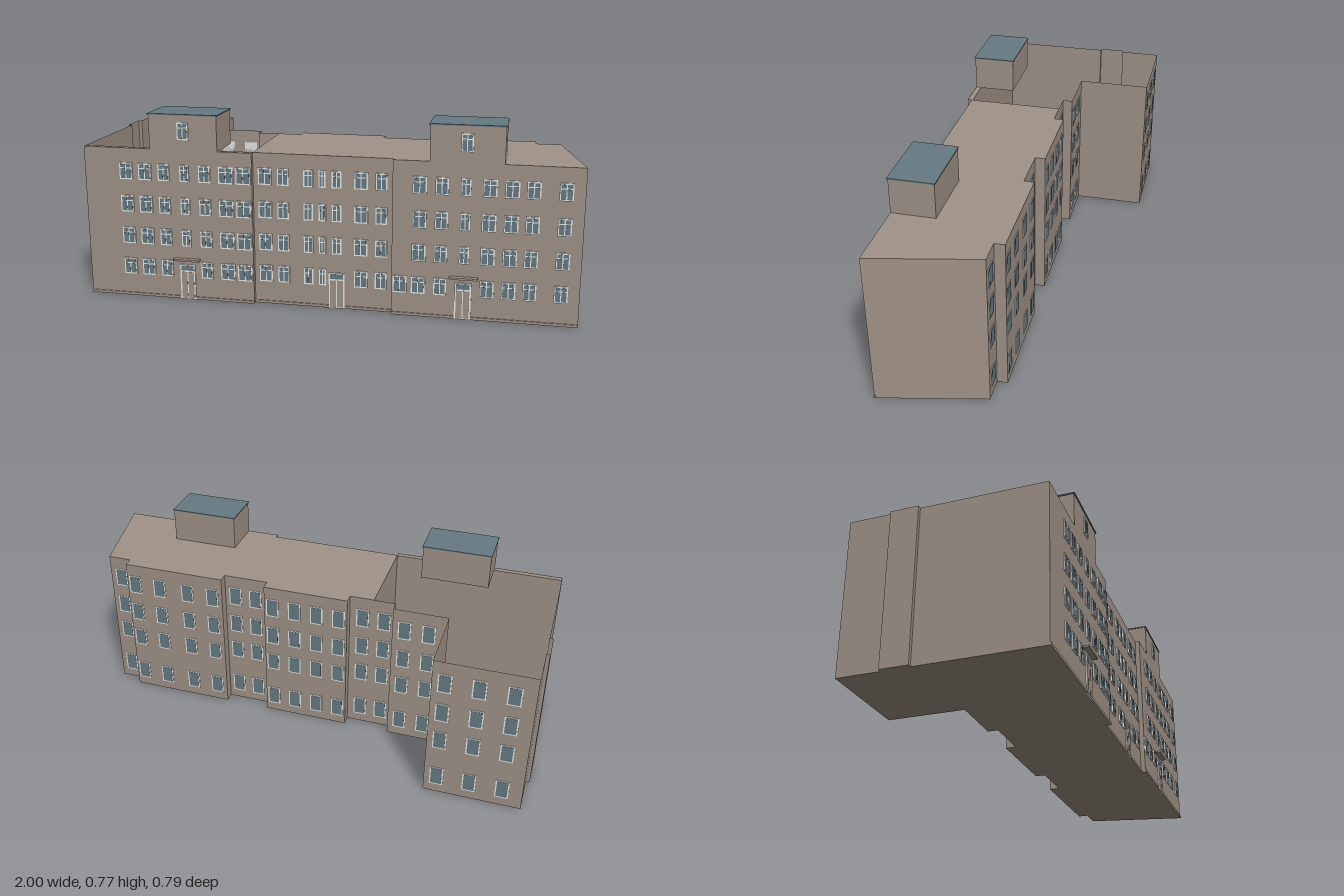
import * as THREE from 'three';
import { mergeGeometries } from 'three/addons/utils/BufferGeometryUtils.js';

const H = 0.624;        // eaves height
const FRONT = 0.373;    // outer front walls
const MID = 0.354;      // recessed middle front
const BACK = -0.085, RECESS = -0.044, WING = -0.39;

export function createModel() {
  const group = new THREE.Group();
  const mat = (name, color, side = THREE.FrontSide) => {
    const m = new THREE.MeshStandardMaterial({ color, side });
    m.name = name;
    return m;
  };
  const wallMat = mat('wall', 0xa09287, THREE.DoubleSide);
  const blueMat = mat('slate blue', 0x667a83);
  const whiteMat = mat('white frame', 0xe4e6e4);

  const add = (name, geo, material) => {
    const m = new THREE.Mesh(geo, material);
    m.name = name;
    group.add(m);
    return m;
  };
  // box given by its limits
  const box = (x0, x1, y0, y1, z0, z1) =>
    new THREE.BoxGeometry(x1 - x0, y1 - y0, z1 - z0)
      .translate((x0 + x1) / 2, (y0 + y1) / 2, (z0 + z1) / 2);
  const planShape = pts => new THREE.Shape(pts.map(([x, z]) => new THREE.Vector2(x, -z)));

  // roofed middle and right sections
  const mainPlan = [
    [-0.28, MID], [0.28, MID], [0.28, FRONT], [1, FRONT], [0.91, RECESS], [0.81, RECESS],
    [0.81, BACK], [0.37, BACK], [0.37, RECESS], [0.18, RECESS], [0.18, BACK],
    [-0.18, BACK], [-0.18, RECESS], [-0.28, RECESS],
  ];
  add('mainBlock', new THREE.ExtrudeGeometry(planShape(mainPlan), { depth: H, bevelEnabled: false })
    .rotateX(-Math.PI / 2), wallMat);

  // open-topped left section: walls along the plan, and a floor
  const leftPlan = [
    [-0.28, RECESS], [-0.37, RECESS], [-0.37, BACK], [-0.595, BACK], [-0.595, WING],
    [-0.985, WING], [-0.985, -0.22], [-1, -0.22], [-1, -0.11], [-0.985, -0.11],
    [-0.985, FRONT], [-0.28, FRONT], [-0.28, MID],
  ];
  const walls = [];
  for (let i = 0; i < leftPlan.length - 1; i++) {
    const [x0, z0] = leftPlan[i], [x1, z1] = leftPlan[i + 1];
    walls.push(new THREE.PlaneGeometry(Math.hypot(x1 - x0, z1 - z0), H)
      .rotateY(Math.atan2(z0 - z1, x1 - x0))
      .translate((x0 + x1) / 2, H / 2, (z0 + z1) / 2));
  }
  add('leftWalls', mergeGeometries(walls), wallMat);
  add('leftFloor', new THREE.ShapeGeometry(planShape(leftPlan)).rotateX(-Math.PI / 2), wallMat);
  add('leftFrontWall', box(-0.984, -0.281, 0, H, 0.35, FRONT - 0.001), wallMat);

  // plinth along the front
  [[-0.985, -0.28, FRONT], [-0.28, 0.28, MID], [0.28, 1, FRONT]].forEach(([x0, x1, z]) =>
    add('plinth', box(x0, x1, 0, 0.011, z - 0.005, z + 0.004), wallMat));

  // stair towers with slate roofs, and canopies over the side doors
  for (const s of [-1, 1]) {
    const x = s * 0.561;
    add('stairTower', box(x - 0.141, x + 0.141, H - 0.002, 0.764, 0.199, FRONT), wallMat);
    add('towerRoof', box(x - 0.144, x + 0.144, 0.764, 0.769, 0.196, FRONT + 0.004), blueMat);
    add('doorCanopy', box(x - 0.055, x + 0.055, 0.166, 0.174, FRONT - 0.005, 0.394), wallMat);
  }

  // windows: white plate with panes standing slightly proud of it
  const frames = [], panes = [];
  const plate = (list, x0, x1, y0, y1, z, out) =>
    list.push(box(x0, x1, y0, y1, Math.min(z, z + out), Math.max(z, z + out)));
  const windowAt = (x, w, y0, y1, z, dir, depth) => {
    const b = 0.005, x0 = x - w / 2, x1 = x + w / 2, out = dir * (depth + 0.001);
    plate(frames, x0, x1, y0, y1, z, dir * depth);
    if (dir < 0) {
      plate(panes, x0 + b, x1 - b, y0 + b, y1 - b, z, out);
      return;
    }
    const bar = y1 - 0.021;   // transom
    for (const [a, c] of [[x0 + b, x - 0.002], [x + 0.002, x1 - b]]) {
      plate(panes, a, c, y0 + b, bar - 0.002, z, out);
      plate(panes, a, c, bar + 0.002, y1 - b, z, out);
    }
  };

  // front columns: [x, width]
  const frontColumns = [
    [-0.807, 0.054], [-0.727, 0.054], [-0.647, 0.048], [-0.56, 0.038], [-0.476, 0.048],
    [-0.387, 0.06], [-0.315, 0.06], [-0.232, 0.054], [-0.158, 0.046], [-0.056, 0.038],
    [0, 0.028], [0.058, 0.038], [0.155, 0.054], [0.235, 0.046], [0.385, 0.054],
    [0.47, 0.05], [0.56, 0.038], [0.65, 0.054], [0.733, 0.054], [0.812, 0.052], [0.93, 0.052],
  ];
  const doors = [-0.56, 0.058, 0.56];
  const frontZ = x => (Math.abs(x) < 0.28 ? MID : FRONT);
  [0.094, 0.226, 0.36, 0.496].forEach((y, floor) => {
    for (const [x, w] of frontColumns)
      if (floor > 0 || !doors.includes(x)) windowAt(x, w, y, y + 0.068, frontZ(x), 1, 0.005);
  });
  windowAt(0.313, 0.054, 0.094, 0.162, FRONT, 1, 0.005);
  for (const x of [-0.56, 0.56]) windowAt(x, 0.046, 0.666, 0.736, FRONT, 1, 0.005);

  // back columns by wall plane
  const backColumns = [
    [RECESS, [0.86, 0.325, 0.235, -0.235, -0.325]],
    [BACK, [0.774, 0.66, 0.53, 0.415, 0.144, 0.048, -0.048, -0.144, -0.42, -0.52]],
    [WING, [-0.645, -0.775, -0.905]],
  ];
  for (const y of [0.038, 0.22, 0.352, 0.488].map((v, i) => [v, [0.122, 0.3, 0.434, 0.571][i]]))
    for (const [z, xs] of backColumns)
      for (const x of xs) windowAt(x, 0.054, y[0], y[1], z, -1, 0.002);

  // doors: white frame, two wall-coloured leaves, glazed top light
  const leaves = [];
  for (const x of doors) {
    const z = frontZ(x);
    plate(frames, x - 0.032, x + 0.032, 0, 0.148, z, 0.005);
    for (const s of [-1, 1]) {
      const a = x + s * 0.002, b = x + s * 0.026;
      plate(leaves, Math.min(a, b), Math.max(a, b), 0.004, 0.117, z, 0.006);
    }
    plate(panes, x - 0.026, x + 0.026, 0.123, 0.144, z, 0.006);
  }
  add('windowFrames', mergeGeometries(frames), whiteMat);
  add('windowPanes', mergeGeometries(panes), blueMat);
  add('doorLeaves', mergeGeometries(leaves), wallMat);
  return group;
}
